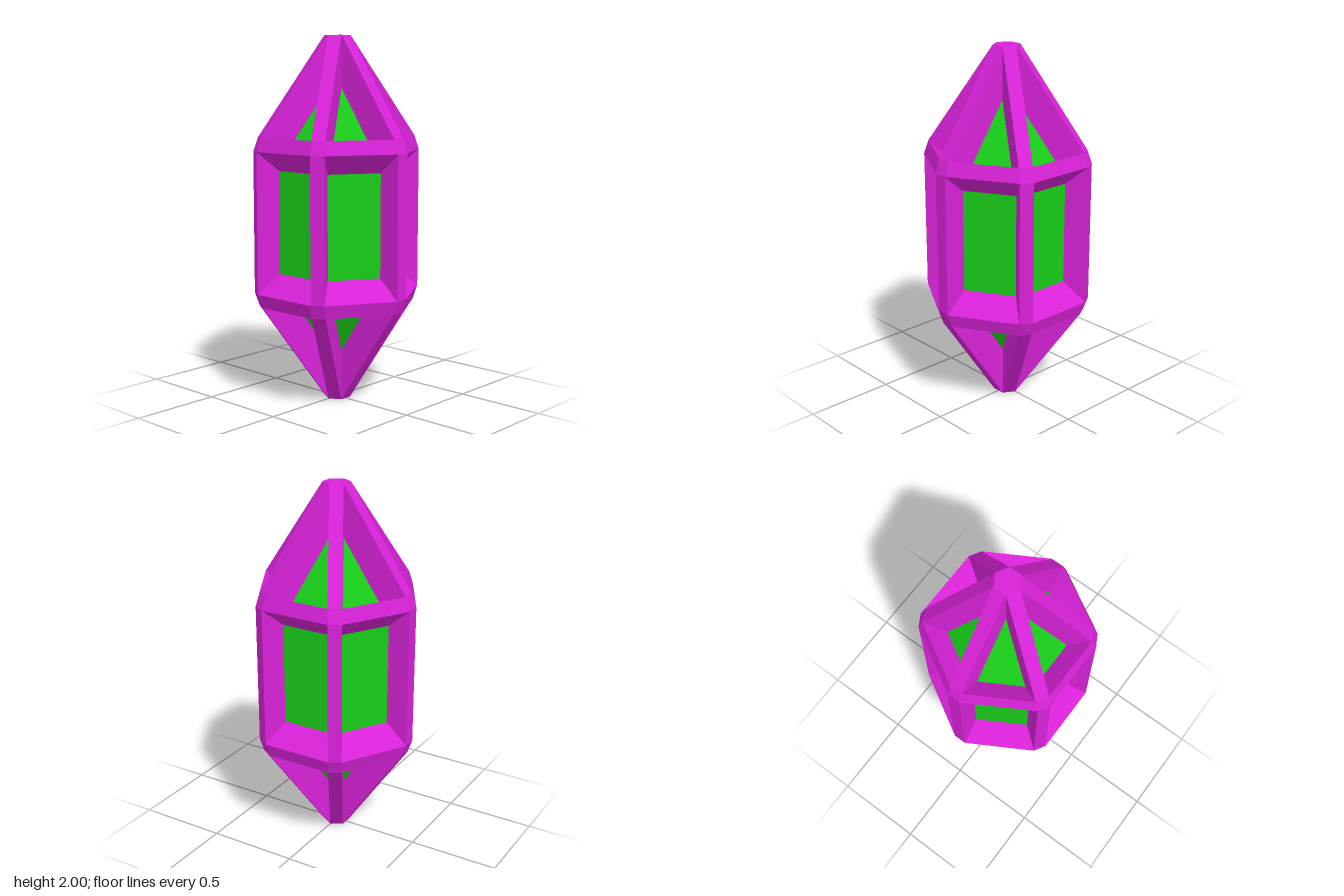
import * as THREE from 'three';

const SIDES = 6;
const STEP = (Math.PI * 2) / SIDES;

// Half width of the posts and ridges, and half heights measured from the middle (y = 1)
const W = 0.0365;
const WALL_H = 0.385, RAIL_H = 0.46, TIP_H = 1;

// Corner of a post or ridge: distance from the axis at each level
const POST_D = 0.46, EAVE_D = 0.4335, TIP_D = W * Math.sqrt(3);

// The same corners expressed along a side face: [outward, sideways]
const side = (d) => [d * Math.cos(STEP / 2) + W * 0.5, d * 0.5 - W * Math.cos(STEP / 2)];

// Point given by direction angle, outward distance, height from the middle, sideways offset
const point = (a, [d, h, s]) => [
  d * Math.cos(a) - s * Math.sin(a),
  1 + h,
  d * Math.sin(a) + s * Math.cos(a),
];

// Collects flat convex polygons into one faceted mesh
class Facets {
  constructor(name, color) {
    this.name = name;
    this.color = color;
    this.positions = [];
  }
  add(a, corners) {
    const p = corners.map((c) => point(a, c));
    for (let i = 1; i < p.length - 1; i++) this.positions.push(...p[0], ...p[i], ...p[i + 1]);
  }
  // The polygon plus its copy mirrored to the lower half
  addBoth(a, corners) {
    this.add(a, corners);
    this.add(a, corners.map(([d, h, s]) => [d, -h, s]).reverse());
  }
  mesh() {
    const g = new THREE.BufferGeometry();
    g.setAttribute('position', new THREE.Float32BufferAttribute(this.positions, 3));
    g.computeVertexNormals();
    const mesh = new THREE.Mesh(g, new THREE.MeshStandardMaterial({ color: this.color, flatShading: true }));
    mesh.name = this.name;
    return mesh;
  }
}

// Sloped walls joining an outer opening to the smaller pane behind it
function reveal(outer, inner) {
  return outer.map((o, i) => {
    const j = (i + 1) % outer.length;
    return [o, outer[j], inner[j], inner[i]];
  });
}

// Upright strip facing outward, from a low edge to a high edge
const strip = (d0, h0, s0, d1, h1, s1) => [[d0, h0, s0], [d0, h0, -s0], [d1, h1, -s1], [d1, h1, s1]];

export function createModel() {
  const FRAME = 0xd822d8, GEM = 0x18cc18;
  const posts = new Facets('cornerPosts', FRAME);
  const rails = new Facets('rails', FRAME);
  const ridges = new Facets('ridges', FRAME);
  const caps = new Facets('endCaps', FRAME);
  const sideReveals = new Facets('sideReveals', FRAME);
  const slopeReveals = new Facets('slopeReveals', FRAME);
  const sidePanes = new Facets('sidePanes', GEM);
  const slopePanes = new Facets('slopePanes', GEM);

  const [wallD, wallS] = side(POST_D);
  const [eaveD, eaveS] = side(EAVE_D);
  const [tipD] = side(TIP_D);

  // Rectangular opening and its recessed pane
  const sideOpening = strip(wallD, -WALL_H, wallS, wallD, WALL_H, wallS);
  const sidePane = strip(0.3, -0.28, 0.145, 0.3, 0.28, 0.145);

  // Triangular opening; its pane is the same triangle dropped straight down and cut short
  const slopeOpening = [[eaveD, RAIL_H, eaveS], [eaveD, RAIL_H, -eaveS], [tipD, TIP_H, 0]];
  const k = 0.667, drop = 0.28;
  const slopePane = slopeOpening.map(([d, h, s]) => [
    tipD + (d - tipD) * k, TIP_H - drop + (h - TIP_H) * k, s * k,
  ]);

  for (let i = 0; i < SIDES; i++) {
    const face = i * STEP, corner = face + STEP / 2;

    // Frame at the corner
    posts.add(corner, strip(POST_D, -WALL_H, W, POST_D, WALL_H, W));
    rails.addBoth(corner, strip(POST_D, WALL_H, W, EAVE_D, RAIL_H, W));
    ridges.addBoth(corner, strip(EAVE_D, RAIL_H, W, TIP_D, TIP_H, W));

    // Rail along the side
    rails.addBoth(face, strip(wallD, WALL_H, wallS, eaveD, RAIL_H, eaveS));

    // Recessed panes
    reveal(sideOpening, sidePane).forEach((q) => sideReveals.add(face, q));
    sidePanes.add(face, sidePane);
    reveal(slopeOpening, slopePane).forEach((q) => slopeReveals.addBoth(face, q));
    slopePanes.addBoth(face, slopePane);

    // Wedge of the flat end
    caps.addBoth(corner, [[0, TIP_H, 0], [TIP_D, TIP_H, W], [TIP_D, TIP_H, -W]]);
  }

  const model = new THREE.Group();
  model.name = 'framedCrystal';
  for (const part of [posts, rails, ridges, caps, sideReveals, slopeReveals, sidePanes, slopePanes]) {
    model.add(part.mesh());
  }
  return model;
}
